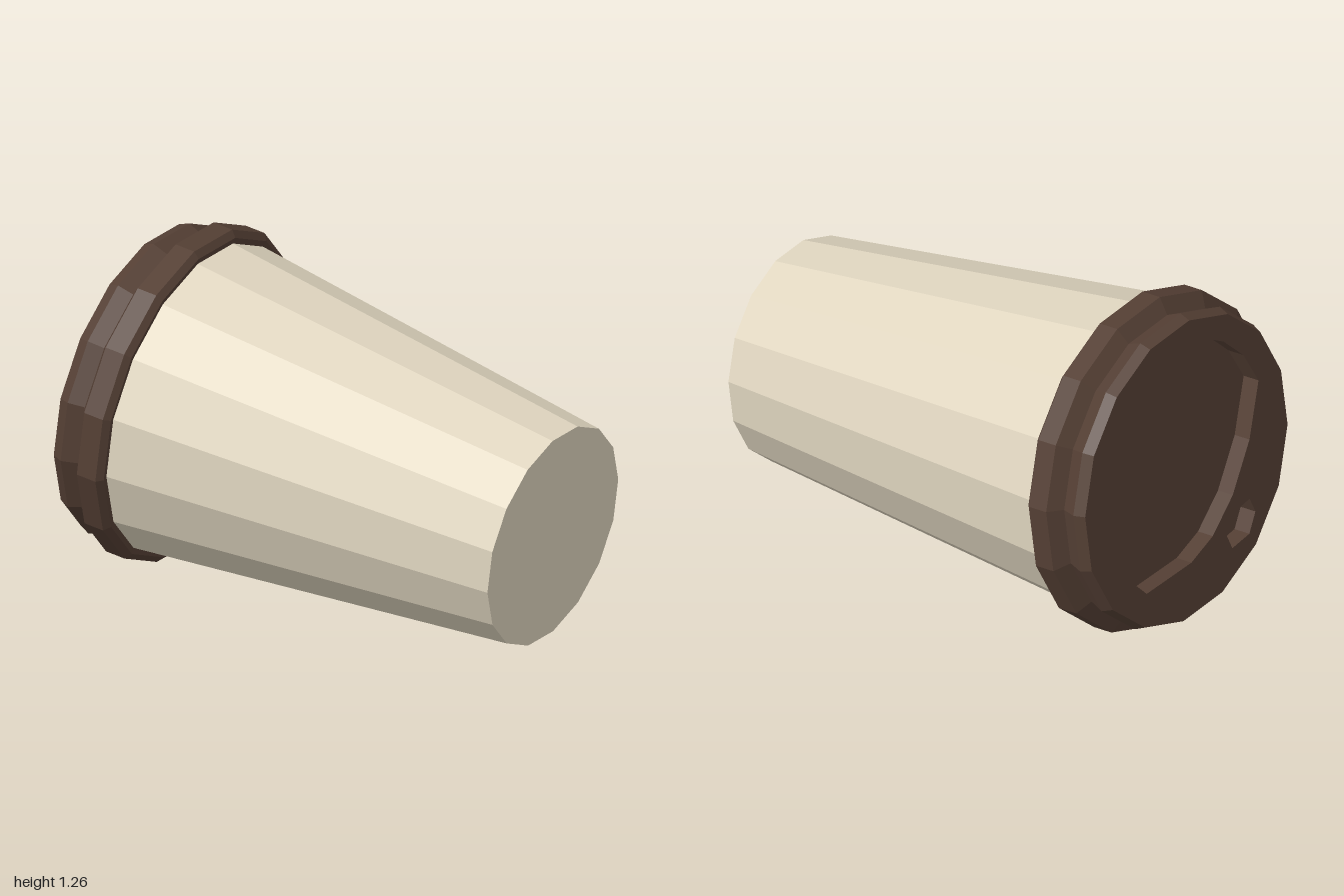
import * as THREE from 'three';

const SIDES = 16;
const START = Math.PI / SIDES + 0.035; // a flat facet rests near the ground

function material(color) {
  return new THREE.MeshStandardMaterial({ color, flatShading: true, side: THREE.DoubleSide });
}

function vectors(points) {
  return points.map(([a, b]) => new THREE.Vector2(a, b));
}

// Faceted solid of revolution from [radius, height] pairs
function turned(name, profile, mat) {
  const mesh = new THREE.Mesh(new THREE.LatheGeometry(vectors(profile), SIDES, START), mat);
  mesh.name = name;
  return mesh;
}

export function createModel() {
  const model = new THREE.Group();
  model.name = 'takeawayCup';
  const paper = material(0xe0d6c0);
  const plastic = material(0x543f34);

  // Upright cup with lid, base at the origin
  const cup = new THREE.Group();
  cup.name = 'cupWithLid';
  model.add(cup);

  // Tapered body with a flat base
  cup.add(turned('cupBody', [[0, 0], [0.42, 0], [0.592, 1.56]], paper));

  // Lid edge: wide snap ring, groove and raised rim
  const top = 1.766;
  cup.add(turned('lidEdge', [
    [0.585, 1.535], [0.612, 1.53], [0.637, 1.55], [0.637, 1.63],
    [0.577, 1.665], [0.6, 1.725], [0.583, top],
  ], plastic));

  // Lid top: plate with the D-shaped recess and the drinking hole cut out
  const depth = 0.07;
  const rim = [];
  for (let i = 0; i < SIDES; i++) {
    const a = START + (i / SIDES) * Math.PI * 2;
    rim.push([0.583 * Math.sin(a), -0.583 * Math.cos(a)]);
  }
  const plate = new THREE.Shape(vectors(rim));
  const recess = [
    [-0.51, 0.07], [-0.485, 0.23], [-0.42, 0.37], [-0.3, 0.46], [-0.16, 0.51], [0, 0.515],
    [0.15, 0.475], [0.27, 0.4], [0.37, 0.295], [0.44, 0.155], [0.36, -0.05], [0.24, -0.22],
    [0.11, -0.325], [-0.02, -0.37], [-0.28, -0.37], [-0.4, -0.235], [-0.48, -0.08],
  ];
  const hole = [
    [0.18, -0.345], [0.24, -0.29], [0.33, -0.28], [0.355, -0.345], [0.31, -0.415], [0.21, -0.425],
  ];
  plate.holes.push(new THREE.Path(vectors(recess)), new THREE.Path(vectors(hole)));
  const plateGeometry = new THREE.ExtrudeGeometry(plate, { depth, bevelEnabled: false });
  plateGeometry.rotateX(-Math.PI / 2).translate(0, top - depth, 0);
  const lidTop = new THREE.Mesh(plateGeometry, plastic);
  lidTop.name = 'lidTop';
  cup.add(lidTop);

  // Floor of the recess and hole
  const floorGeometry = new THREE.CircleGeometry(0.57, SIDES);
  floorGeometry.rotateX(-Math.PI / 2).translate(0, top - depth + 0.002, 0);
  const floor = new THREE.Mesh(floorGeometry, plastic);
  floor.name = 'lidRecessFloor';
  cup.add(floor);

  // Lay the cup on its side, lid towards the back right
  const across = new THREE.Vector3(-0.798, 0, 0.603).normalize();
  const axis = new THREE.Vector3(-0.603, 0.106, -0.798).normalize();
  const down = new THREE.Vector3().crossVectors(across, axis);
  cup.quaternion.setFromRotationMatrix(new THREE.Matrix4().makeBasis(across, axis, down));
  cup.position.set(0.595, 0.465, 0.747);

  return model;
}
